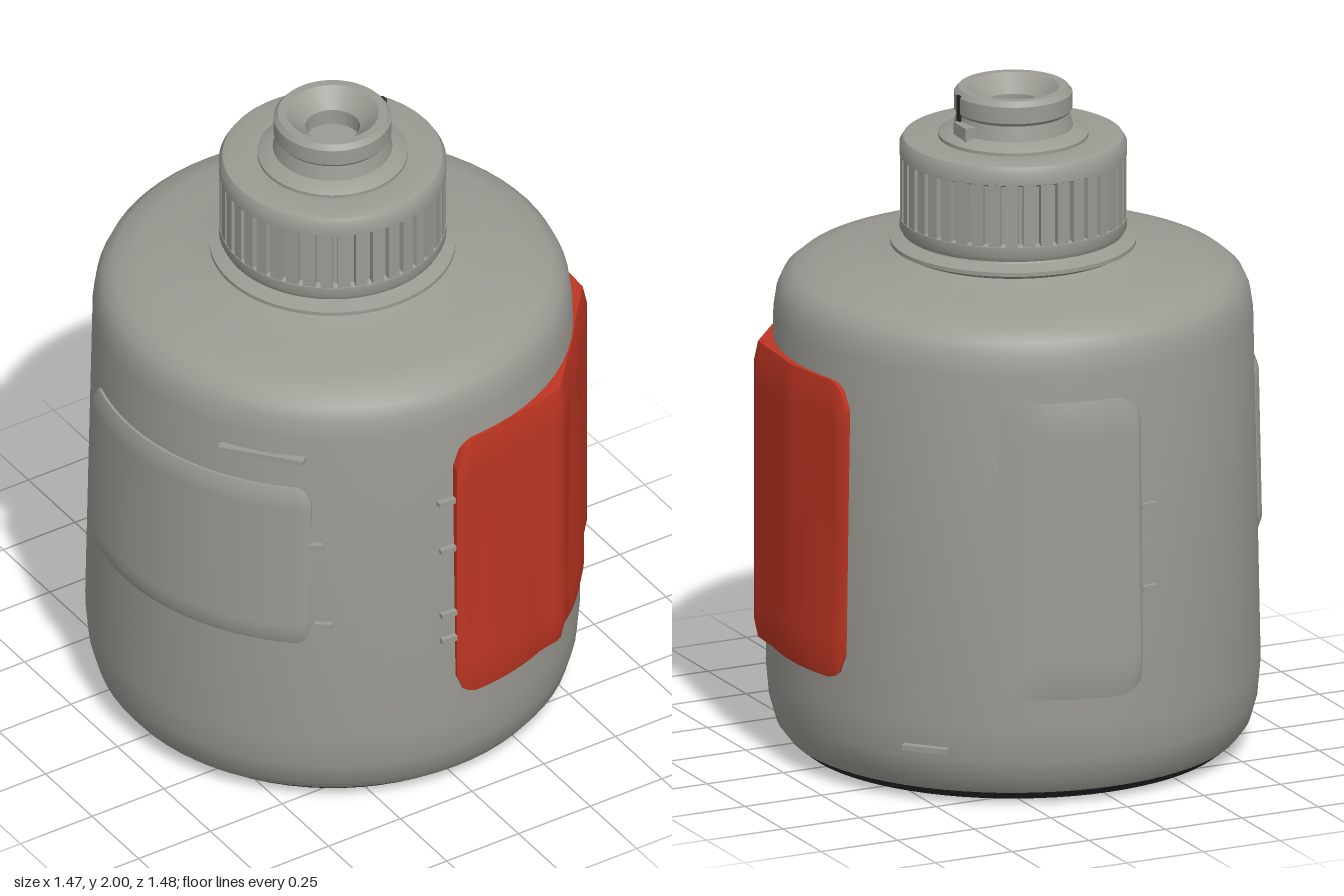
import * as THREE from 'three';
import { toCreasedNormals } from 'three/addons/utils/BufferGeometryUtils.js';

const material = (name, color) => {
  const m = new THREE.MeshStandardMaterial({ color });
  m.name = name;
  return m;
};

export function createModel() {
  const grey = material('warm grey plastic', 0x9b9a93);
  const red = material('red label', 0xbd3522);
  const dark = material('dark underside', 0x28282b);
  const model = new THREE.Group();
  model.name = 'bottle';

  const add = (name, geometry, mat, parent = model) => {
    const mesh = new THREE.Mesh(geometry, mat);
    mesh.name = name;
    parent.add(mesh);
    return mesh;
  };
  const lathe = (name, profile, mat, crease = 0.6) => {
    const g = new THREE.LatheGeometry(profile.map(([r, y]) => new THREE.Vector2(r, y)), 72);
    return add(name, toCreasedNormals(g, crease), mat);
  };
  const rad = THREE.MathUtils.degToRad;

  // body wall radius, tapering slightly upwards
  const bodyRadius = (y) => THREE.MathUtils.mapLinear(THREE.MathUtils.clamp(y, 0.25, 1.32), 0.25, 1.32, 0.724, 0.702);

  // body and base
  lathe('base', [[0, 0], [0.58, 0], [0.63, 0.012], [0.665, 0.04]], dark);
  lathe('body', [[0.665, 0.04], [0.695, 0.08], [0.715, 0.15], [0.724, 0.25], [0.713, 0.8],
    [0.702, 1.32], [0.693, 1.38], [0.675, 1.42], [0.64, 1.45], [0.57, 1.47], [0.45, 1.49],
    [0.34, 1.505], [0.31, 1.52]], grey, 1);

  // neck flange and screw cap
  lathe('neckFlange', [[0.3, 1.5], [0.33, 1.51], [0.36, 1.525], [0.36, 1.537], [0.31, 1.55], [0.3, 1.57]], grey);
  lathe('cap', [[0.29, 1.56], [0.325, 1.56], [0.333, 1.575], [0.333, 1.605], [0.312, 1.61],
    [0.312, 1.785], [0.333, 1.795], [0.333, 1.83], [0.322, 1.848], [0.3, 1.855], [0.215, 1.85]], grey);
  const ribs = new THREE.Group();
  ribs.name = 'capRibs';
  model.add(ribs);
  const ribGeometry = new THREE.BoxGeometry(0.036, 0.2, 0.03);
  for (let i = 0; i < 40; i++) {
    const a = (i / 40) * Math.PI * 2;
    const rib = add('capRib', ribGeometry, grey, ribs);
    rib.position.set(Math.sin(a) * 0.316, 1.7, Math.cos(a) * 0.316);
    rib.rotation.y = a;
  }

  // spout with a funnel mouth
  lathe('spout', [[0.22, 1.845], [0.22, 1.86], [0.205, 1.87], [0.175, 1.88], [0.165, 1.925],
    [0.173, 1.935], [0.173, 1.985], [0.16, 2], [0.135, 2], [0.08, 1.95], [0.08, 1.9], [0, 1.9]], grey);
  add('spoutLug', new THREE.BoxGeometry(0.05, 0.055, 0.08), grey).position.set(0.165, 1.885, -0.03);
  add('spoutSlot', new THREE.BoxGeometry(0.008, 0.09, 0.02), dark).position.set(0.172, 1.945, 0.01);

  // plate with rounded corners wrapped round the body; angles run from +z towards +x
  const wrapPanel = (name, a0, a1, y0, y1, corner, outer, mat) => {
    const R = 0.72, w = rad(a1 - a0) * R, h = y1 - y0;
    const g = new THREE.BoxGeometry(w, h, 1, 64, 16, 1);
    const p = g.attributes.position;
    for (let i = 0; i < p.count; i++) {
      const x = p.getX(i), y = p.getY(i), front = p.getZ(i) > 0;
      const end = w / 2 - Math.abs(x);
      const k = Math.max(0, corner - end);
      const inset = corner - Math.sqrt(Math.max(0, corner * corner - k * k));
      const side = h / 2 - Math.abs(y);
      const edge = Math.min(end, side);
      const a = rad((a0 + a1) / 2) + x / R;
      const Y = (y0 + y1) / 2 + y * (1 - (2 * inset) / h);
      const wall = bodyRadius(Y);
      const bevel = edge < 0.01 ? 0.012 : 0;
      const r = front ? Math.max(outer(a, wall) - bevel, wall + 0.004) : wall - 0.02;
      p.setXYZ(i, Math.sin(a) * r, Y, Math.cos(a) * r);
    }
    g.computeVertexNormals();
    return add(name, g, mat);
  };

  // the red label follows a softly faceted path [angle, radius]
  const path = [[-3, 0.742], [30, 0.76], [70, 0.763], [90, 0.735], [111, 0.737]]
    .map(([d, r]) => [rad(d), r]);
  const facet = (a, wall) => {
    let i = 0;
    while (i < path.length - 2 && a > path[i + 1][0]) i++;
    const [b, s] = path[i], [c, t] = path[i + 1];
    const r = (s * t * Math.sin(c - b)) / (s * Math.sin(a - b) + t * Math.sin(c - a));
    return Math.max(r, wall + 0.015);
  };
  wrapPanel('redLabel', -3, 111, 0.34, 1.245, 0.08, facet, red);

  // raised grey panels on the side and back
  wrapPanel('sidePanel', -109, -38, 0.6, 1.15, 0.05, (a, wall) => wall + 0.02, grey);
  wrapPanel('backPanel', 150, 185, 0.34, 1.24, 0.08,
    (a, wall) => wall + 0.005 + 0.022 * THREE.MathUtils.smoothstep(a, rad(150), rad(175)), grey);

  // small moulded tabs: [angle, y, width]
  const tabs = new THREE.Group();
  tabs.name = 'mouldedTabs';
  model.add(tabs);
  for (const [d, y, w] of [[-5, 0.56, 0.05], [-5, 0.65, 0.05], [-5, 0.88, 0.05], [-5, 1.05, 0.06],
    [-38, 0.95, 0.07], [-35, 0.67, 0.05], [-50, 1.255, 0.26], [187, 0.65, 0.05], [187, 0.9, 0.05], [133, 0.18, 0.14]]) {
    const a = rad(d), r = bodyRadius(y) + 0.003;
    const tab = add('mouldedTab', new THREE.BoxGeometry(w, 0.016, 0.026), grey, tabs);
    tab.position.set(Math.sin(a) * r, y, Math.cos(a) * r);
    tab.rotation.y = a;
  }
  return model;
}
